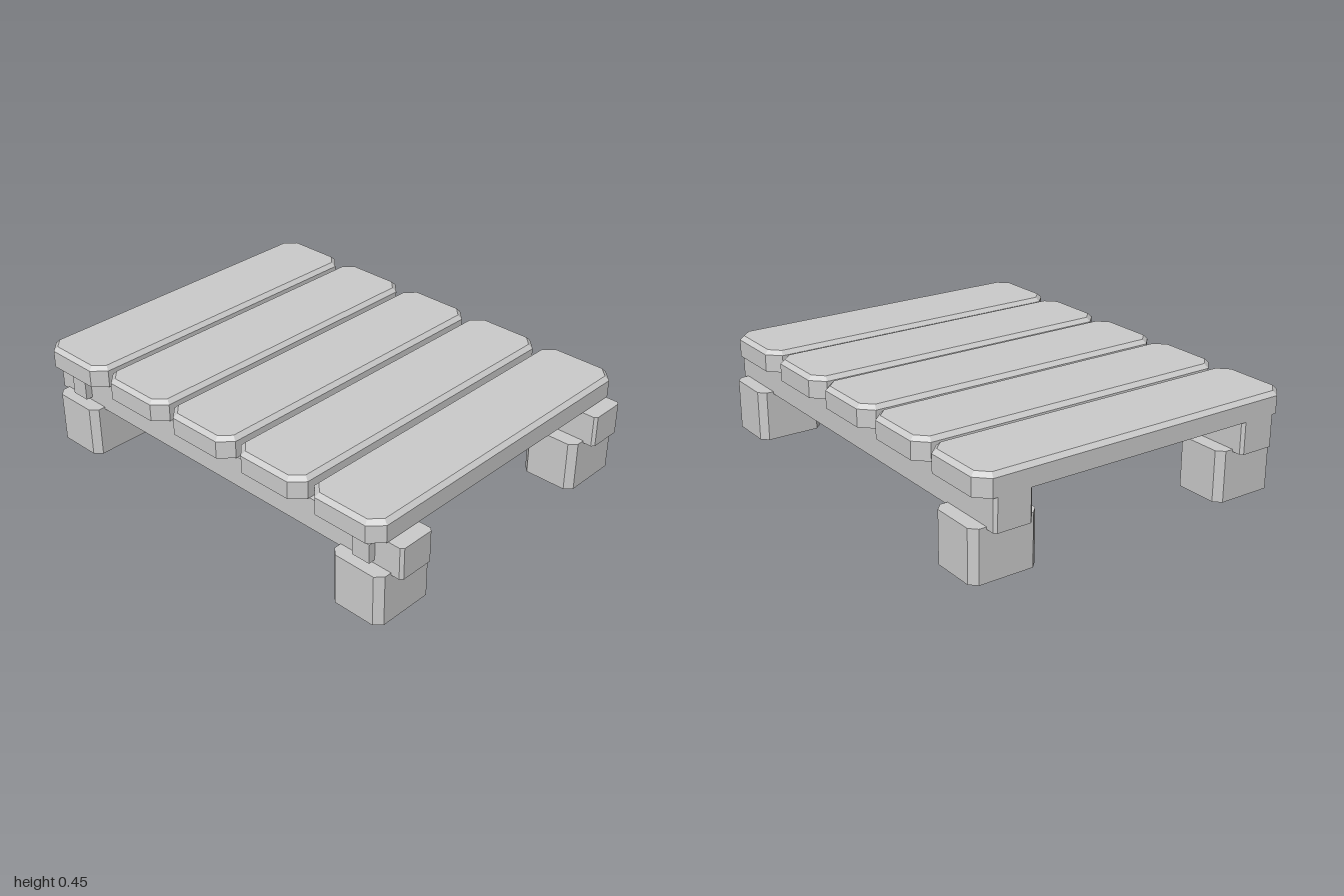
import * as THREE from 'three';

// Octagonal outline of a rectangle with cut corners
function outline(w, d, c) {
  const x = w / 2, z = d / 2;
  return [[x, z - c], [x - c, z], [c - x, z], [-x, z - c], [-x, c - z], [c - x, -z], [x - c, -z], [x, c - z]];
}

// Upright block with cut vertical corners and an optional bevel around its top
function cutBlock(w, h, d, cut, bevel = 0) {
  const ring = (y, inset) =>
    outline(w - 2 * inset, d - 2 * inset, cut - inset * (2 - Math.SQRT2)).map(([x, z]) => [x, y, z]);
  const rings = [ring(0, 0), ring(h - bevel, 0)];
  if (bevel) rings.push(ring(h, bevel));
  const pos = [];
  const tri = (...pts) => pts.forEach((p) => pos.push(...p));
  for (let r = 0; r < rings.length - 1; r++) {
    const lo = rings[r], hi = rings[r + 1];
    for (let i = 0; i < 8; i++) {
      const j = (i + 1) % 8;
      tri(lo[i], hi[i], hi[j]);
      tri(lo[i], hi[j], lo[j]);
    }
  }
  const bottom = rings[0], top = rings[rings.length - 1];
  for (let i = 1; i < 7; i++) {
    tri(bottom[0], bottom[i], bottom[i + 1]);
    tri(top[0], top[i + 1], top[i]);
  }
  const geo = new THREE.BufferGeometry();
  geo.setAttribute('position', new THREE.Float32BufferAttribute(pos, 3));
  geo.computeVertexNormals();
  return geo;
}

export function createModel() {
  const model = new THREE.Group();
  model.name = 'slattedPlatform';
  const grey = new THREE.MeshStandardMaterial({ color: 0xcccccc });
  grey.name = 'lightGrey';

  const add = (name, geo, x, y, z) => {
    const mesh = new THREE.Mesh(geo, grey);
    mesh.name = name;
    mesh.position.set(x, y, z);
    model.add(mesh);
  };

  // Five top planks, the last stopping short of the rail ends
  const plank = cutBlock(0.36, 0.095, 1.5, 0.055, 0.018);
  for (let i = 0; i < 5; i++) add('plank' + (i + 1), plank, -0.82 + i * 0.393, 0.355, 0);

  // Rails, legs, and pegs on the front rail only
  const rail = cutBlock(2, 0.14, 0.17, 0.012);
  const leg = cutBlock(0.25, 0.225, 0.3, 0.03);
  const peg = new THREE.BoxGeometry(0.085, 0.085, 0.06);
  for (const [end, sz] of [['front', 1], ['back', -1]]) {
    add(end + 'Rail', rail, 0, 0.215, sz * 0.602);
    for (const [side, sx] of [['Left', 1], ['Right', -1]]) {
      add(end + side + 'Leg', leg, sx * 0.825, 0, sz * 0.6);
      if (sz > 0) add('peg' + side, peg, sx * 0.827, 0.283, 0.688);
    }
  }
  return model;
}
